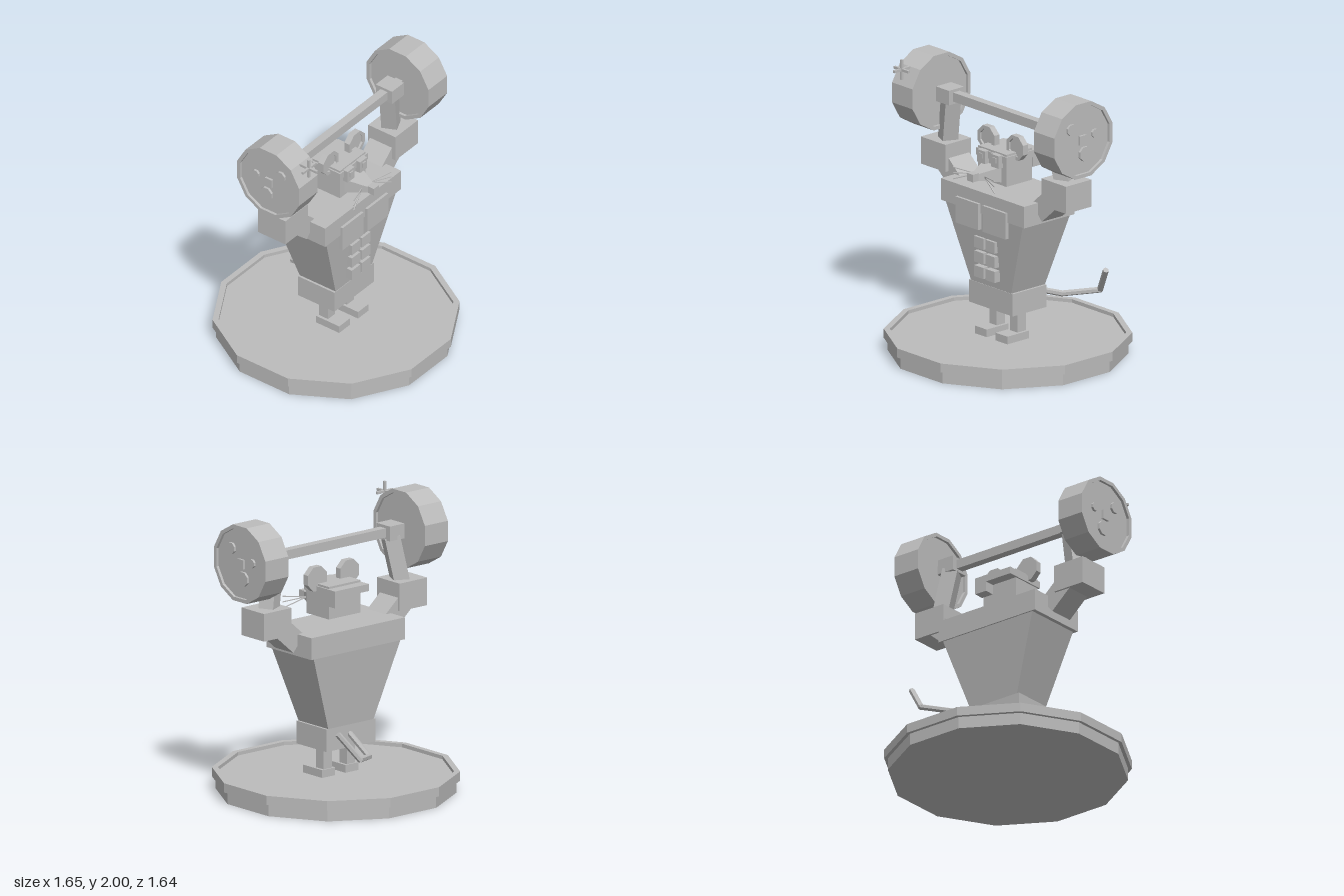
import * as THREE from 'three';

const grey = new THREE.MeshStandardMaterial({ color: 0xbcbcbc });
grey.name = 'stone grey';

export function createModel() {
  const model = new THREE.Group();
  model.name = 'weightlifterMouse';

  // Faceted mesh
  const add = (name, geo, parent = model) => {
    const g = geo.index ? geo.toNonIndexed() : geo;
    g.computeVertexNormals();
    const m = new THREE.Mesh(g, grey);
    m.name = name;
    parent.add(m);
    return m;
  };
  // Box from its min and max on each axis
  const box = (name, x0, x1, y0, y1, z0, z1) => {
    const g = new THREE.BoxGeometry(x1 - x0, y1 - y0, z1 - z0);
    g.translate((x0 + x1) / 2, (y0 + y1) / 2, (z0 + z1) / 2);
    return add(name, g);
  };
  // Straight piece from a to b
  const beam = (name, a, b, w, h) => {
    const A = new THREE.Vector3(...a), B = new THREE.Vector3(...b);
    const m = add(name, new THREE.BoxGeometry(w, h, A.distanceTo(B)));
    m.position.copy(A).add(B).multiplyScalar(0.5);
    m.lookAt(B);
    return m;
  };
  // Regular polygon prism along y with a flat facing z
  const prism = (sides, profile) => new THREE.LatheGeometry(
    profile.map(([x, y]) => new THREE.Vector2(x, y)), sides, Math.PI / sides, Math.PI * 2);

  // Stand
  add('standBase', prism(12, [[0, 0], [0.825, 0], [0.825, 0.085], [0, 0.085]]));
  add('standTop', prism(12, [[0, 0.085], [0.85, 0.085], [0.85, 0.15], [0.808, 0.15], [0.808, 0.125], [0, 0.125]]));

  // Legs and feet
  for (const [side, s] of [['left', 1], ['right', -1]]) {
    const x = s * 0.105;
    box(side + 'Foot', x - 0.059, x + 0.059, 0.125, 0.18, -0.045, 0.155);
    box(side + 'Leg', x - 0.038, x + 0.038, 0.18, 0.345, -0.035, 0.043);
  }

  // Hips, tapered torso and shoulder block
  box('hips', -0.222, 0.222, 0.34, 0.5, -0.155, 0.158);
  const torso = new THREE.BoxGeometry(1, 0.54, 1);
  const tp = torso.attributes.position;
  for (let i = 0; i < tp.count; i++) {
    const up = tp.getY(i) > 0;
    tp.setX(i, tp.getX(i) * (up ? 0.785 : 0.41));
    tp.setZ(i, tp.getZ(i) * (up ? 0.44 : 0.31));
  }
  add('torso', torso.translate(0, 0.77, 0));
  box('shoulders', -0.423, 0.423, 1.04, 1.195, -0.23, 0.235);

  // Chest and stomach muscles
  for (const s of [-1, 1]) {
    const cx = s * 0.138, ax = s * 0.057;
    box('chestMuscle', cx - 0.116, cx + 0.116, 0.923, 1.11, 0.225, 0.255);
    for (let r = 0; r < 3; r++) {
      const y = 0.605 + r * 0.105;
      box('stomachMuscle', ax - 0.047, ax + 0.047, y - 0.04, y + 0.04, 0.17, 0.218);
    }
  }

  // Head with headband and knot
  box('head', -0.143, 0.143, 1.25, 1.48, -0.09, 0.145);
  box('headband', -0.154, 0.154, 1.415, 1.465, -0.165, 0.155);
  box('headbandKnot', 0.06, 0.154, 1.345, 1.415, -0.165, -0.09);

  // Snout narrowing to the nose
  const snout = new THREE.BoxGeometry(1, 1, 0.165);
  const sp = snout.attributes.position;
  for (let i = 0; i < sp.count; i++) {
    const tip = sp.getZ(i) > 0;
    sp.setX(i, sp.getX(i) * (tip ? 0.055 : 0.19));
    sp.setY(i, sp.getY(i) * (tip ? 0.045 : 0.11));
  }
  add('snout', snout.translate(0, 1.325, 0.2225));
  box('nose', -0.03, 0.03, 1.3, 1.355, 0.295, 0.35);

  for (const s of [-1, 1]) {
    // Eyes
    const ex = s * 0.07;
    box('eye', ex - 0.039, ex + 0.039, 1.38, 1.47, 0.14, 0.185);
    box('pupil', ex - 0.017, ex + 0.017, 1.415, 1.452, 0.185, 0.193);

    // Ears: octagons with a sunken middle
    const ear = prism(8, [[0, 0], [0.092, 0], [0.092, 0.045], [0.066, 0.045], [0.066, 0.03], [0, 0.03]]);
    add('ear', ear.rotateX(Math.PI / 2).translate(s * 0.146, 1.515, 0.025));

    // Whiskers
    for (const y of [1.345, 1.305, 1.26]) {
      beam('whisker', [s * 0.04, 1.325, 0.255], [s * 0.21, y, 0.315], 0.006, 0.006);
    }

    // Arms
    beam('upperArm', [s * 0.41, 1.125, 0.01], [s * 0.61, 1.3, 0.01], 0.19, 0.15);
    const exc = s * 0.613;
    box('elbow', exc - 0.125, exc + 0.125, 1.2, 1.395, -0.1, 0.135);
    beam('forearm', [s * 0.595, 1.37, 0.015], [s * 0.53, 1.7, 0.045], 0.11, 0.11);
    box('hand', s * 0.535 - 0.066, s * 0.535 + 0.066, 1.68, 1.785, -0.02, 0.12);

    // Weights with a rim on both faces and studs on the outer one
    const weight = new THREE.Group();
    weight.name = 'weight';
    weight.position.set(s * 0.617, 1.732, 0.053);
    model.add(weight);
    const disc = prism(12, [[0, 0.02], [0.25, 0.02], [0.25, 0], [0.277, 0], [0.277, 0.208],
      [0.25, 0.208], [0.25, 0.188], [0, 0.188]]);
    add('weightDisc', disc.rotateZ(-s * Math.PI / 2), weight);
    for (const [z, y, r] of [[0.1, 0.093, 0.041], [-0.115, 0.025, 0.031], [-0.023, -0.103, 0.053]]) {
      const stud = new THREE.CylinderGeometry(r, r, 0.03, 8).rotateY(Math.PI / 8).rotateZ(Math.PI / 2);
      add('stud', stud.translate(s * 0.19, y, z), weight);
    }
  }
  box('bar', -0.822, 0.822, 1.7, 1.765, 0.022, 0.082);

  // Sparkle on the right weight
  const c = [-0.722, 1.922, 0.325];
  for (let axis = 0; axis < 3; axis++) {
    const h = [0.009, 0.009, 0.009];
    h[axis] = 0.072;
    box('sparkle', c[0] - h[0], c[0] + h[0], c[1] - h[1], c[1] + h[1], c[2] - h[2], c[2] + h[2]);
  }

  // Bent tail
  const tail = [[0, 0.44, -0.13], [0.075, 0.34, -0.43], [0.29, 0.385, -0.585], [0.425, 0.57, -0.515]];
  for (let i = 0; i < 3; i++) {
    const a = new THREE.Vector3(...tail[i]), b = new THREE.Vector3(...tail[i + 1]);
    const g = new THREE.CylinderGeometry(0.021, 0.021, a.distanceTo(b) + 0.015, 6).rotateX(Math.PI / 2);
    const m = add('tail', g);
    m.position.copy(a).add(b).multiplyScalar(0.5);
    m.lookAt(b);
  }

  return model;
}
